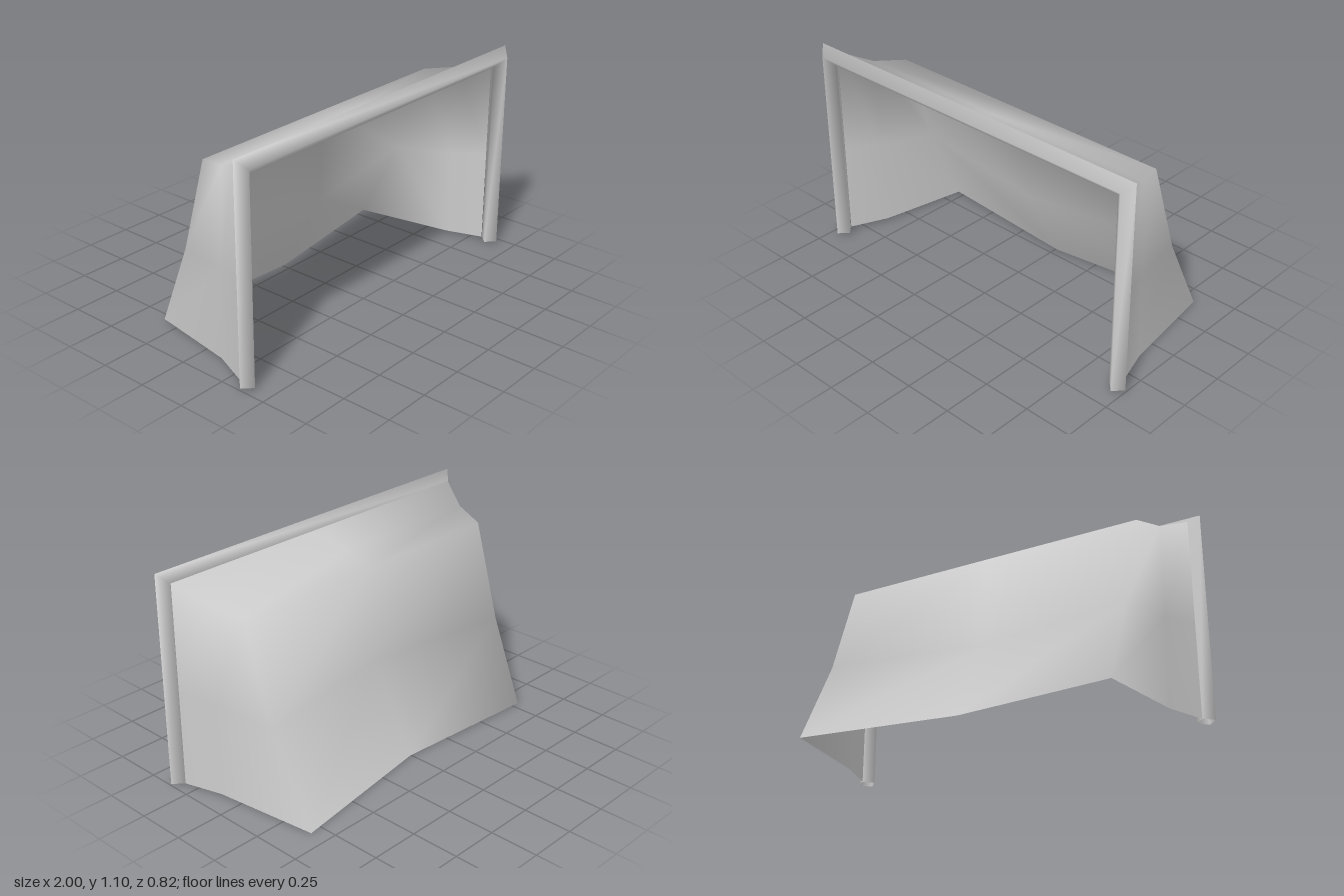
import * as THREE from 'three';
import { mergeVertices } from 'three/addons/utils/BufferGeometryUtils.js';

const material = new THREE.MeshStandardMaterial({ color: 0xcccccc, side: THREE.DoubleSide });

// Indexed surface from rows of [x, y, z] points
function addGrid(rows, positions, index) {
  const base = positions.length / 3, n = rows[0].length;
  rows.flat().forEach((p) => positions.push(...p));
  for (let r = 0; r < rows.length - 1; r++) {
    for (let c = 0; c < n - 1; c++) {
      const a = base + r * n + c, b = a + n;
      index.push(a, b, a + 1, b, b + 1, a + 1);
    }
  }
}

// Smooth normals in which every face counts the same, whatever its size
function smoothEvenly(geometry) {
  const pos = geometry.attributes.position, ids = geometry.index.array;
  const sums = Array.from({ length: pos.count }, () => new THREE.Vector3());
  const triangle = new THREE.Triangle(), normal = new THREE.Vector3();
  for (let i = 0; i < ids.length; i += 3) {
    triangle.setFromAttributeAndIndices(pos, ids[i], ids[i + 1], ids[i + 2]);
    triangle.getNormal(normal);
    for (let k = 0; k < 3; k++) sums[ids[i + k]].add(normal);
  }
  const flat = sums.flatMap((s) => s.normalize().toArray());
  geometry.setAttribute('normal', new THREE.Float32BufferAttribute(flat, 3));
}

function makeMesh(name, grids) {
  const positions = [], index = [];
  grids.forEach((g) => addGrid(g, positions, index));
  let geometry = new THREE.BufferGeometry();
  geometry.setAttribute('position', new THREE.Float32BufferAttribute(positions, 3));
  geometry.setIndex(index);
  geometry = mergeVertices(geometry);
  smoothEvenly(geometry);
  const mesh = new THREE.Mesh(geometry, material);
  mesh.name = name;
  return mesh;
}

// Diamond section of the frame, pushed outward along (ox, oy)
function diamond(x, y, ox, oy) {
  const r = 0.047, ring = [];
  for (let i = 0; i <= 4; i++) {
    const c = [1, 0, -1, 0][i % 4] * r, s = [0, 1, 0, -1][i % 4] * r;
    ring.push([x + c * ox, y + c * oy, 0.362 + s]);
  }
  return ring;
}

export function createModel() {
  const group = new THREE.Group();

  // Posts and crossbar in one mitred sweep, open at the feet
  const X = 0.953, top = 1.057, foot = 0.01;
  group.add(makeMesh('frame', [[
    diamond(X, foot, 1, 0), diamond(X, top, 1, 1),
    diamond(-X, top, -1, 1), diamond(-X, foot, -1, 0),
  ]]));

  // Net walls: one row of points each for top, middle and ground,
  // running from the right post round the back to the left post
  const topRow = [
    [-0.95, 1.057, 0.315], [-0.865, 0.977, 0.155], [-0.81, 0.943, -0.015], [0.01, 0.942, -0.015],
    [0.82, 0.94, -0.015], [0.875, 0.975, 0.155], [0.95, 1.057, 0.315],
  ];
  const middleRow = [
    [-0.95, 0.5, 0.315], [-0.868, 0.48, 0.135], [-0.8, 0.45, -0.165], [0.01, 0.45, -0.05],
    [0.82, 0.45, -0.18], [0.885, 0.48, 0.135], [0.95, 0.5, 0.315],
  ];
  const groundRow = [
    [-0.95, 0.01, 0.315], [-0.87, 0.008, 0.12], [-0.79, 0.003, -0.35], [0.01, 0.003, -0.29],
    [0.815, 0, -0.41], [0.89, 0.008, 0.12], [0.95, 0.01, 0.315],
  ];

  // Net roof, sagging from the crossbar to the back edge
  const roof = [
    [topRow[2], topRow[3], topRow[4]],
    [topRow[1], [0.01, 0.976, 0.155], topRow[5]],
    [topRow[0], [0.01, 1.057, 0.315], topRow[6]],
  ];
  group.add(makeMesh('net', [[groundRow, middleRow, topRow], roof]));
  return group;
}
